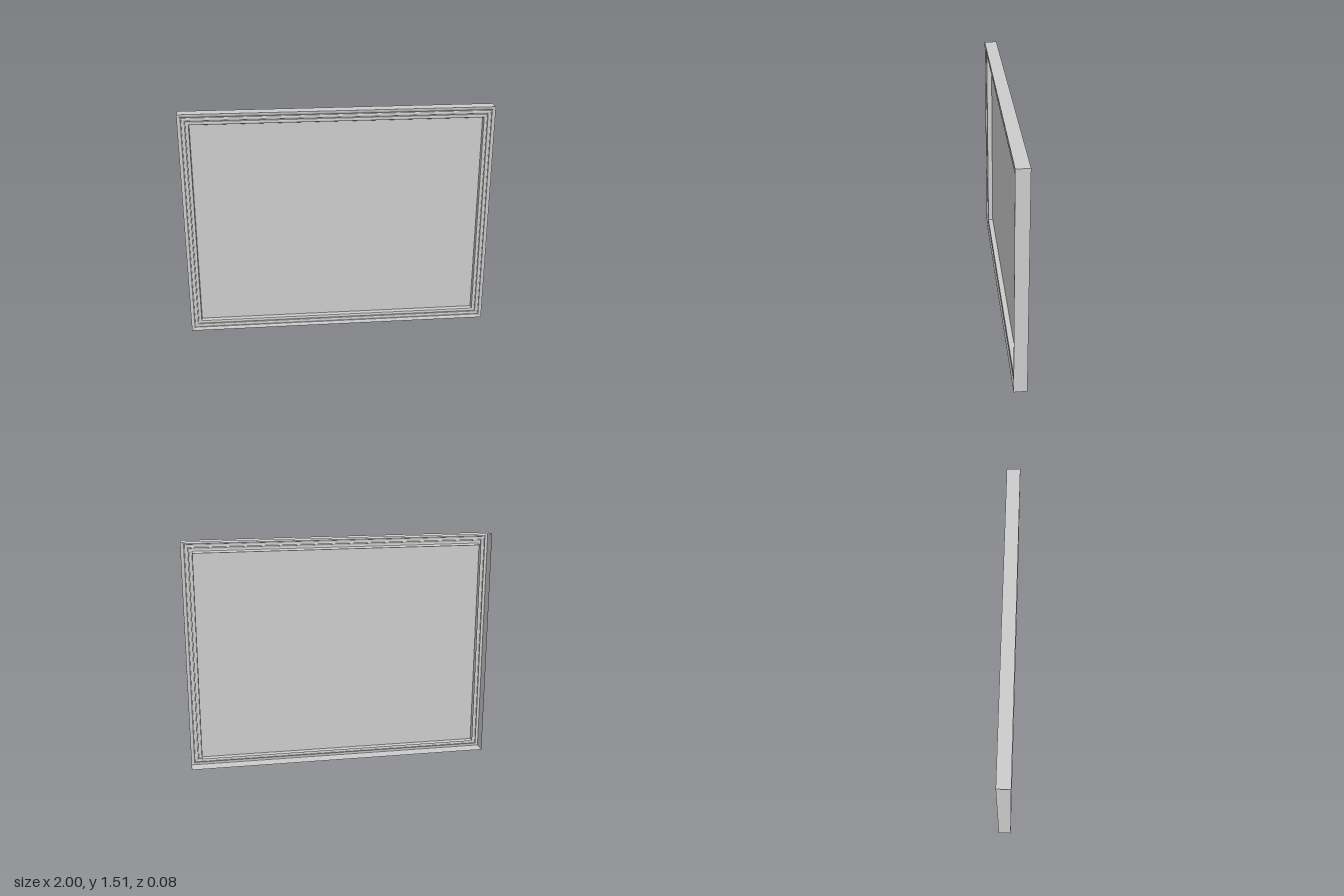
import * as THREE from 'three';

const HALF_W = 1, HEIGHT = 1.512, BACK = -0.042, FRONT = 0.042;
const INSET = 0.071;

// Corner of the rectangle lying `d` inside the outer edge, anticlockwise from bottom left
function corner(k, d, z) {
  const sx = k === 0 || k === 3 ? -1 : 1;
  return [sx * (HALF_W - d), k < 2 ? d : HEIGHT - d, z];
}

// Rounded bead spanning insets a..b, rising from z0 to z1
function bead(a, b, z0, z1, steps = 6) {
  const pts = [];
  for (let i = 0; i <= steps; i++) {
    const t = Math.PI * i / steps;
    pts.push([(a + b) / 2 - Math.cos(t) * (b - a) / 2, z0 + Math.sin(t) * (z1 - z0)]);
  }
  return pts;
}

// Sweep a profile along one mitred side of the frame
function mouldingSide(profile, k) {
  const pos = [];
  for (let i = 0; i < profile.length - 1; i++) {
    const a = corner(k, ...profile[i]), b = corner((k + 1) % 4, ...profile[i]);
    const c = corner((k + 1) % 4, ...profile[i + 1]), d = corner(k, ...profile[i + 1]);
    pos.push(...a, ...b, ...c, ...a, ...c, ...d);
  }
  const g = new THREE.BufferGeometry();
  g.setAttribute('position', new THREE.Float32BufferAttribute(pos, 3));
  g.computeVertexNormals();
  return g;
}

export function createModel() {
  const model = new THREE.Group();
  model.name = 'pictureFrame';
  const mat = new THREE.MeshStandardMaterial({ color: 0xcccccc, side: THREE.DoubleSide });

  // Hollow moulding: outer wall, square edge, groove, middle bead, groove, inner bead, inner wall
  const profile = [
    [0, BACK], [0, FRONT], [0.008, FRONT], [0.016, 0.039], [0.021, 0.034],
    [0.021, 0.029], [0.024, 0.029],
    ...bead(0.024, 0.046, 0.03, 0.035),
    [0.046, 0.026], [0.049, 0.026],
    ...bead(0.049, INSET, 0.031, 0.036),
    [INSET, BACK],
  ];
  const frame = new THREE.Group();
  frame.name = 'frame';
  ['bottomRail', 'leftRail', 'topRail', 'rightRail'].forEach((name, k) => {
    const rail = new THREE.Mesh(mouldingSide(profile, k), mat);
    rail.name = name;
    frame.add(rail);
  });
  model.add(frame);

  // Thin picture panel set halfway into the opening, recessed from front and back
  const panel = new THREE.Mesh(
    new THREE.PlaneGeometry(2 * (HALF_W - INSET), HEIGHT - 2 * INSET), mat);
  panel.name = 'picturePanel';
  panel.position.y = HEIGHT / 2;
  model.add(panel);

  return model;
}
